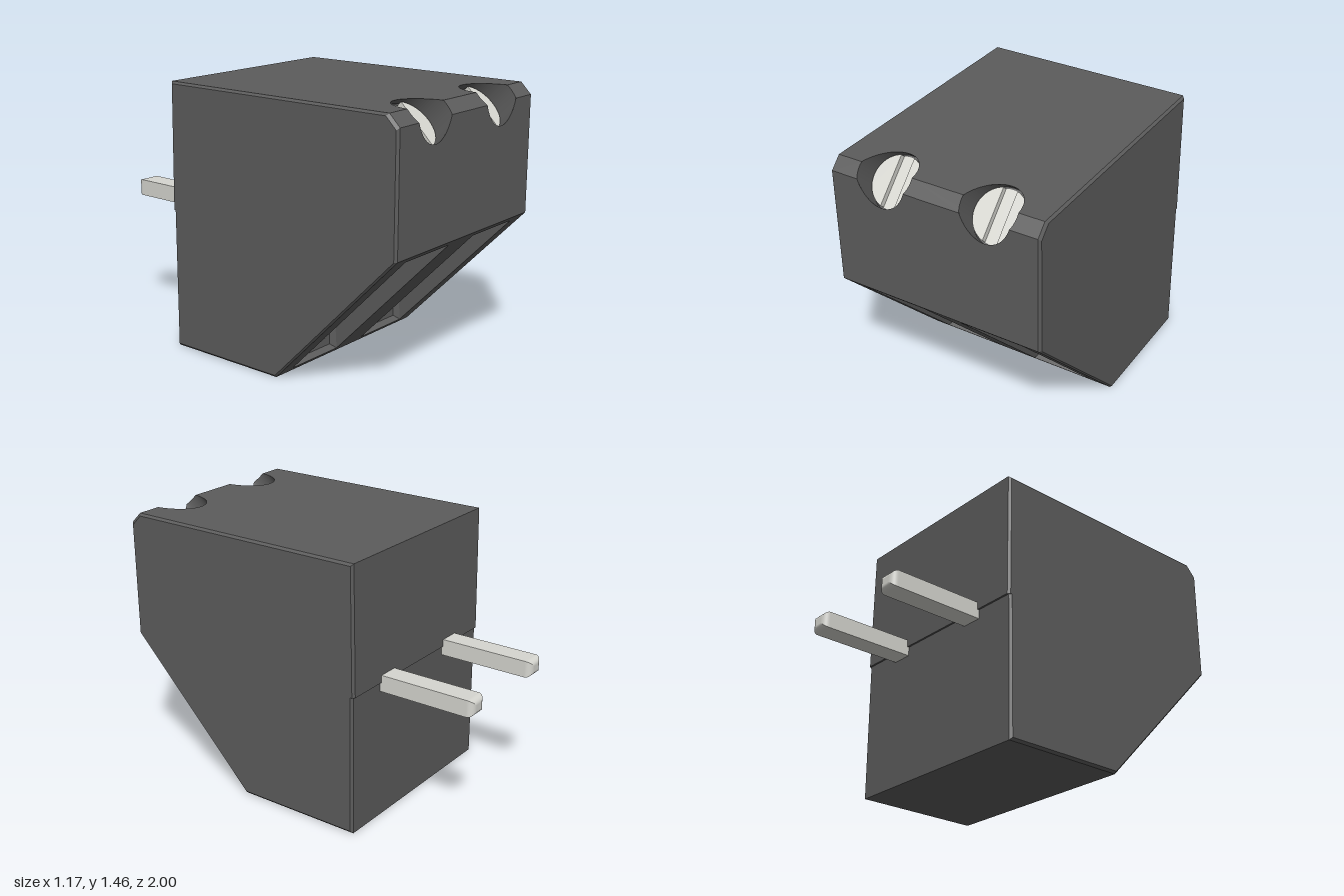
import * as THREE from 'three';

const plastic = new THREE.MeshStandardMaterial({ color: 0x5c5c5c, side: THREE.DoubleSide });
const metal = new THREE.MeshStandardMaterial({ color: 0xd6d6d0 });
const R2 = Math.SQRT2, PI = Math.PI;
const W = 0.585, BEVEL = 0.012, w = W - BEVEL;   // half width, edge bevel
const POLES = [-0.29, 0.29];                     // x of the two poles
// side outline as [z, y], from the lower front corner upward and round the back
const outline = [[0.25, 0], [1, 0.77], [1, 1.40], [0.94, 1.46], [-0.46, 1.46],
  [-0.47, 0.77], [-0.46, 0.77], [-0.46, 0]];
// screw bore, tilted 45 degrees: t runs across it, s along it
const bore = { r: 0.148, t: 0.345, floor: 1.54 };
const tFront = 0.4 / R2, tTop = 0.52 / R2, sChamfer = 2.4 / R2;
const a1 = Math.asin((tFront - bore.t) / bore.r), a2 = Math.asin((tTop - bore.t) / bore.r);

function add(parent, name, geometry, material) {
  const mesh = new THREE.Mesh(geometry, material);
  mesh.name = name;
  parent.add(mesh);
  return mesh;
}

// points [x, t] on the bore circle between two angles
function boreArc(x, from, to, n) {
  return Array.from({ length: n + 1 }, (_, i) => {
    const a = from + (to - from) * i / n;
    return [x + bore.r * Math.cos(a), bore.t + bore.r * Math.sin(a)];
  });
}

const shapeOf = pts => new THREE.Shape(pts.map(p => new THREE.Vector2(...p)));

// flat-shaded surface from four-cornered faces
function quads(list) {
  const pos = [];
  for (const [a, b, c, d] of list) pos.push(...a, ...b, ...c, ...a, ...c, ...d);
  const g = new THREE.BufferGeometry();
  g.setAttribute('position', new THREE.Float32BufferAttribute(pos, 3));
  g.computeVertexNormals();
  return g;
}

const loopQuads = (a, b) => a.map((p, i) => {
  const j = (i + 1) % a.length;
  return [p, a[j], b[j], b[i]];
});

// shapes (x, distance along the edge) for one face of the housing
function panelShapes(i, L) {
  const rect = [[-w, 0], [w, 0], [w, L], [-w, L]];
  if (i === 0) {                                  // sloped face with wire openings
    const shape = shapeOf(rect), k = L / 0.77;
    for (const x of POLES) shape.holes.push(new THREE.Path(
      rectPoints(x, 0.18, 0.025, 0.74).map(([px, y]) => new THREE.Vector2(px, y * k))));
    return [shape];
  }
  if (i === 1) {                                  // front, notched along its top edge
    const notch = [...POLES].reverse().flatMap(x => boreArc(x, 2 * PI + a1, PI - a1, 28)
      .map(([px, t]) => [px, 1 + R2 * t - 0.77]));
    return [shapeOf([rect[0], rect[1], rect[2], ...notch, rect[3]])];
  }
  if (i === 2) {                                  // chamfer, split by the bores
    const side = (x, from, to) => boreArc(x, from, to, 6).map(([px, t]) => [px, t - tFront]);
    const leftSide = x => side(x, PI - a1, PI - a2), rightSide = x => side(x, a2, a1);
    return [
      shapeOf([rect[0], ...leftSide(POLES[0]), rect[3]]),
      shapeOf([...rightSide(POLES[0]), ...leftSide(POLES[1])]),
      shapeOf([...rightSide(POLES[1]), rect[1], rect[2]])];
  }
  if (i === 3) {                                  // top, notched along its front edge
    const notch = POLES.flatMap(x => boreArc(x, PI - a2, a2, 28)
      .map(([px, t]) => [px, 0.94 - (1.46 - R2 * t)]));
    return [shapeOf([rect[0], ...notch, rect[1], rect[2], rect[3]])];
  }
  return [shapeOf(rect)];
}

function rectPoints(x, half, y0, y1) {
  return [[x - half, y0], [x + half, y0], [x + half, y1], [x - half, y1]];
}

function makeHousing() {
  const g = new THREE.Group();
  g.name = 'housing';
  outline.forEach(([z, y], i) => {
    const [z2, y2] = outline[(i + 1) % outline.length];
    const L = Math.hypot(z2 - z, y2 - y);
    const panel = add(g, 'housingPanel', new THREE.ShapeGeometry(panelShapes(i, L)), plastic);
    panel.rotation.x = Math.atan2(z2 - z, y2 - y);
    panel.position.set(0, y, z);
  });
  // side walls with a narrow bevel all round
  const inset = outline.map(([z, y]) => [0.25 + (z - 0.25) * 0.983, 0.74 + (y - 0.74) * 0.983]);
  for (const s of [-1, 1]) {
    const wall = add(g, 'sideWall', new THREE.ShapeGeometry(
      shapeOf(inset.map(([z, y]) => [-s * z, y]))), plastic);
    wall.rotation.y = s * PI / 2;
    wall.position.x = s * W;
    const outer = outline.map(([z, y]) => [s * w, y, z]);
    const inner = inset.map(([z, y]) => [s * W, y, z]);
    add(g, 'sideBevel', quads(s > 0 ? loopQuads(inner, outer) : loopQuads(outer, inner)), plastic);
  }
  return g;
}

// tapered wire pocket with the metal clamp at its foot
function makeWireEntry(x) {
  const g = new THREE.Group();
  g.name = 'wireEntry';
  const mouth = rectPoints(x, 0.18, 0.025, 0.74).map(([px, y]) => [px, y, 0.25 + 0.75 * y / 0.77]);
  const back = rectPoints(x, 0.162, 0.045, 0.74).map(([px, y]) => [px, y, 0.24]);
  add(g, 'wirePocket', quads([...loopQuads(mouth, back), back]), plastic);
  add(g, 'wireClamp', new THREE.BoxGeometry(0.255, 0.18, 0.05), metal).position.set(x, 0.18, 0.22);
  return g;
}

// bore wall and slotted screw, in the tilted frame (x, t, s)
function makeScrew(x) {
  const g = new THREE.Group();
  g.name = 'screwTerminal';
  g.rotation.x = -PI / 4;
  const circle = boreArc(x, 0, 2 * PI, 96).slice(0, -1);
  const rim = circle.map(([px, t]) => [px, t, Math.min(R2 + t, 1.46 * R2 - t, sChamfer)]);
  const foot = circle.map(([px, t]) => [px, t, bore.floor]);
  add(g, 'screwBore', quads(loopQuads(rim, foot)), plastic);
  add(g, 'boreFloor', new THREE.CircleGeometry(bore.r, 48), plastic)
    .position.set(x, bore.t, bore.floor - 0.005);
  const r = 0.138, half = 0.0375, a = Math.acos(half / r);
  add(g, 'slotFloor', new THREE.CircleGeometry(r, 48), metal).position.set(x, bore.t, bore.floor);
  for (const start of [0, PI]) {
    const cheek = new THREE.Shape().absarc(0, 0, r, start - a, start + a, false);
    const geo = new THREE.ExtrudeGeometry(cheek, { depth: 0.03, bevelEnabled: false, curveSegments: 24 });
    add(g, 'screwHead', geo, metal).position.set(x, bore.t, bore.floor);
  }
  return g;
}

// flat contact pin with a rounded tip
function makePin(x) {
  const len = 0.6, tip = 0.035, seg = 10;
  const geo = new THREE.BoxGeometry(0.115, 0.09, len, 1, 1, seg);
  const p = geo.attributes.position;
  for (let i = 0; i < p.count; i++) {
    const k = Math.round((0.5 - p.getZ(i) / len) * seg);
    const u = Math.max(0, (k - 1) / (seg - 1));
    const shrink = tip * (1 - Math.cos(u * PI / 2));
    p.setX(i, p.getX(i) - Math.sign(p.getX(i)) * shrink);
    p.setY(i, p.getY(i) - Math.sign(p.getY(i)) * shrink * 0.8);
    p.setZ(i, k === 0 ? -0.4 : -1 + tip * (1 - Math.sin(u * PI / 2)));
  }
  geo.computeVertexNormals();
  const pin = new THREE.Mesh(geo, metal);
  pin.name = 'contactPin';
  pin.position.set(x, 0.765, 0);
  return pin;
}

export function createModel() {
  const model = new THREE.Group();
  model.name = 'terminalBlock';
  model.add(makeHousing());
  for (const x of POLES) model.add(makeWireEntry(x), makeScrew(x), makePin(x));
  return model;
}
